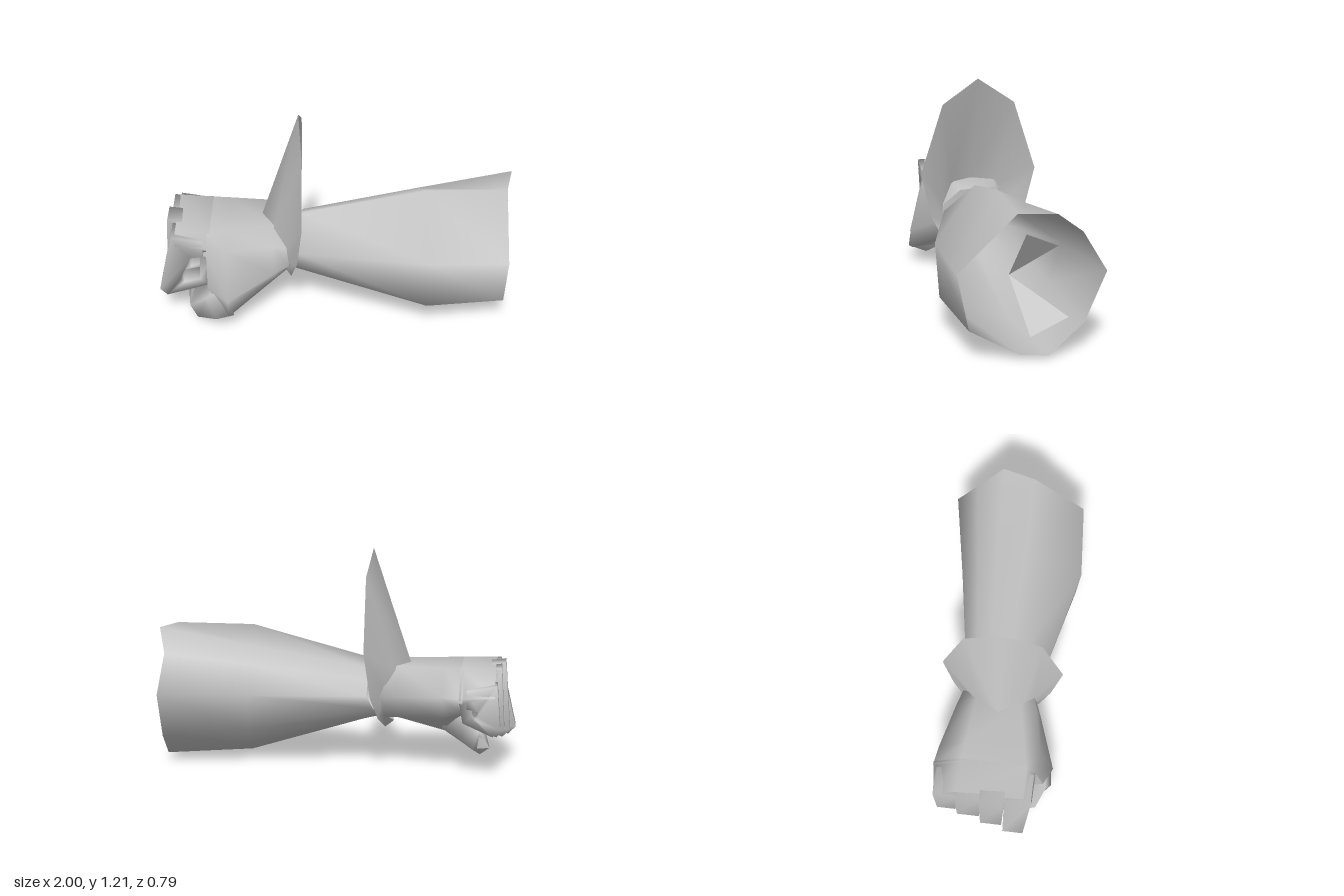
import * as THREE from 'three';

const grey = new THREE.MeshStandardMaterial({ color: 0xc0c0c0, side: THREE.DoubleSide });
grey.name = 'plain grey';

// Skin a surface over closed rings of [x, y, z] points, optionally closing either end.
function loft(name, rings, { capStart = false, capEnd = false } = {}) {
  const n = rings[0].length;
  const pos = rings.flat(2);
  const index = [];
  for (let r = 0; r < rings.length - 1; r++) {
    for (let i = 0; i < n; i++) {
      const j = (i + 1) % n;
      const a = r * n + i, b = r * n + j, c = a + n, d = b + n;
      index.push(a, c, b, b, c, d);
    }
  }
  const cap = (ring, flip) => {
    const base = pos.length / 3;
    pos.push(...ring.flat());
    for (let i = 1; i < n - 1; i++) {
      if (flip) index.push(base, base + i + 1, base + i);
      else index.push(base, base + i, base + i + 1);
    }
  };
  if (capStart) cap(rings[0], false);
  if (capEnd) cap(rings[rings.length - 1], true);
  const geo = new THREE.BufferGeometry();
  geo.setAttribute('position', new THREE.Float32BufferAttribute(pos, 3));
  geo.setIndex(index);
  geo.computeVertexNormals();
  const mesh = new THREE.Mesh(geo, grey);
  mesh.name = name;
  return mesh;
}

// Ring in a plane of constant x from [z, y] pairs
const section = (x, pts) => pts.map(([z, y]) => [x, y, z]);

// Complete a half ring (top to bottom, z >= 0) by mirroring in z
const mirrored = half => [
  ...half,
  ...half.slice(1, -1).reverse().map(([x, y, z]) => [x, y, -z]),
];

// Curled finger: four-sided sections following knuckle, fist front, fold and tip
function finger({ name, knuckle: [kx, ky], reach, low, zTop, zTip }) {
  const quad = (outer, inner, [z0, z1]) => [
    [...outer, z1], [...inner, z1], [...inner, z0], [...outer, z0],
  ];
  return loft(name, [
    quad([-0.74, ky - 0.03], [-0.74, ky - 0.13], zTop),
    quad([kx, ky], [kx + 0.1, ky - 0.14], zTop),
    quad([reach, low + 0.04], [reach + 0.12, low + 0.11], zTip),
    quad([reach + 0.04, low], [reach + 0.14, low + 0.09], zTip),
    quad([-0.72, low + 0.07], [-0.77, low + 0.11], zTip),
    quad([-0.7, 0.42], [-0.76, 0.44], zTip),
  ], { capEnd: true });
}

export function createModel() {
  const model = new THREE.Group();
  model.name = 'armWithFist';

  // Flared hollow sleeve, open at both ends
  model.add(loft('sleeve', [
    [[-0.2, 0.59, 0.03], [-0.19, 0.55, -0.06], [-0.19, 0.5, -0.14], [-0.19, 0.42, -0.2], [-0.22, 0.34, -0.15],
      [-0.25, 0.28, -0.04], [-0.26, 0.27, 0.05], [-0.25, 0.32, 0.17], [-0.22, 0.44, 0.21]],
    [[0.5, 0.76, 0.07], [0.46, 0.665, -0.1], [0.45, 0.58, -0.21], [0.45, 0.425, -0.305], [0.48, 0.22, -0.23],
      [0.5, 0.1, -0.1], [0.5, 0.04, 0.0], [0.5, 0.19, 0.375], [0.5, 0.49, 0.395]],
    [[0.95, 0.76, 0.07], [1.0, 0.76, -0.12], [0.93, 0.64, -0.27], [0.94, 0.43, -0.395], [0.95, 0.17, -0.28],
      [0.98, 0.02, -0.09], [0.96, 0.03, 0.06], [0.94, 0.17, 0.31], [0.94, 0.47, 0.37]],
  ]));

  // Two loose triangular flaps inside the sleeve mouth
  const flaps = [
    [0.78, 0.39, 0.07, 0.97, 0.66, 0.03, 0.94, 0.58, -0.14],
    [0.78, 0.39, 0.07, 0.94, 0.2, -0.2, 0.985, 0.13, 0.01],
  ];
  flaps.forEach((pts, i) => {
    const geo = new THREE.BufferGeometry();
    geo.setAttribute('position', new THREE.Float32BufferAttribute(pts, 3));
    geo.computeVertexNormals();
    const flap = new THREE.Mesh(geo, grey);
    flap.name = i ? 'lowerSleeveFlap' : 'upperSleeveFlap';
    model.add(flap);
  });

  // Cuff guard: thin shell around the wrist, rising to a tall point
  const guard = loft('cuffGuard', [
    mirrored([[-0.42, 0.56, 0], [-0.35, 0.55, 0.13], [-0.28, 0.47, 0.19], [-0.27, 0.38, 0.2],
      [-0.28, 0.31, 0.15], [-0.32, 0.24, 0]]),
    mirrored([[-0.2, 1.215, 0], [-0.185, 1.075, 0.208], [-0.19, 0.68, 0.335], [-0.22, 0.42, 0.28],
      [-0.255, 0.3, 0.22], [-0.27, 0.2, 0]]),
  ]);
  guard.position.z = 0.01;
  model.add(guard);

  // Hand body from wrist to the base of the fingers
  const hand = new THREE.Group();
  hand.name = 'fist';
  model.add(hand);
  hand.add(loft('palm', [
    section(-0.265, [[-0.1, 0.55], [0.1, 0.55], [0.2, 0.47], [0.215, 0.36], [0.12, 0.28], [0, 0.27],
      [-0.12, 0.29], [-0.21, 0.42]]),
    section(-0.35, [[-0.12, 0.58], [0.13, 0.58], [0.22, 0.49], [0.25, 0.33], [0.18, 0.24], [0, 0.26],
      [-0.14, 0.3], [-0.235, 0.43]]),
    section(-0.61, [[-0.15, 0.582], [0.18, 0.582], [0.27, 0.5], [0.35, 0.21], [0.34, 0.1], [0.08, 0.22],
      [-0.2, 0.31], [-0.3, 0.45]]),
    section(-0.72, [[-0.16, 0.583], [0.2, 0.583], [0.255, 0.5], [0.3, 0.28], [0.25, 0.23], [0.05, 0.3],
      [-0.2, 0.34], [-0.32, 0.45]]),
  ], { capStart: true, capEnd: true }));

  // Back of the hand carried out over the knuckles
  hand.add(loft('knuckles', [
    section(-0.7, [[-0.16, 0.583], [0.2, 0.583], [0.255, 0.5], [0.2, 0.45], [-0.24, 0.39], [-0.32, 0.45]]),
    section(-0.89, [[-0.17, 0.59], [0.2, 0.588], [0.248, 0.53], [0.2, 0.46], [-0.24, 0.39], [-0.295, 0.46]]),
  ], { capEnd: true }));

  // Four curled fingers, stepping shorter toward the outer side
  const fingers = [
    { name: 'indexFinger', knuckle: [-0.91, 0.582], reach: -1.0, low: 0.165, zTop: [0.1, 0.245], zTip: [0.1, 0.215] },
    { name: 'middleFinger', knuckle: [-0.94, 0.6], reach: -0.97, low: 0.18, zTop: [-0.035, 0.1], zTip: [-0.03, 0.09] },
    { name: 'ringFinger', knuckle: [-0.92, 0.595], reach: -0.94, low: 0.21, zTop: [-0.17, -0.035], zTip: [-0.165, -0.04] },
    { name: 'littleFinger', knuckle: [-0.9, 0.52], reach: -0.92, low: 0.24, zTop: [-0.295, -0.17], zTip: [-0.28, -0.175] },
  ];
  fingers.forEach(f => hand.add(finger(f)));

  // Thumb folded under the fingers
  hand.add(loft('thumb', [
    [[-0.58, 0.11, 0.34], [-0.6, 0.3, 0.3], [-0.6, 0.3, 0.1], [-0.58, 0.16, 0.18]],
    [[-0.68, 0.09, 0.35], [-0.73, 0.22, 0.32], [-0.7, 0.25, 0.15], [-0.69, 0.08, 0.2]],
    [[-0.8, 0.002, 0.22], [-0.83, 0.13, 0.27], [-0.8, 0.17, 0.12], [-0.76, 0.05, 0.14]],
    [[-0.86, 0.09, 0.05], [-0.83, 0.14, 0.06], [-0.8, 0.16, 0.02], [-0.79, 0.09, 0.02]],
  ], { capEnd: true }));

  return model;
}
